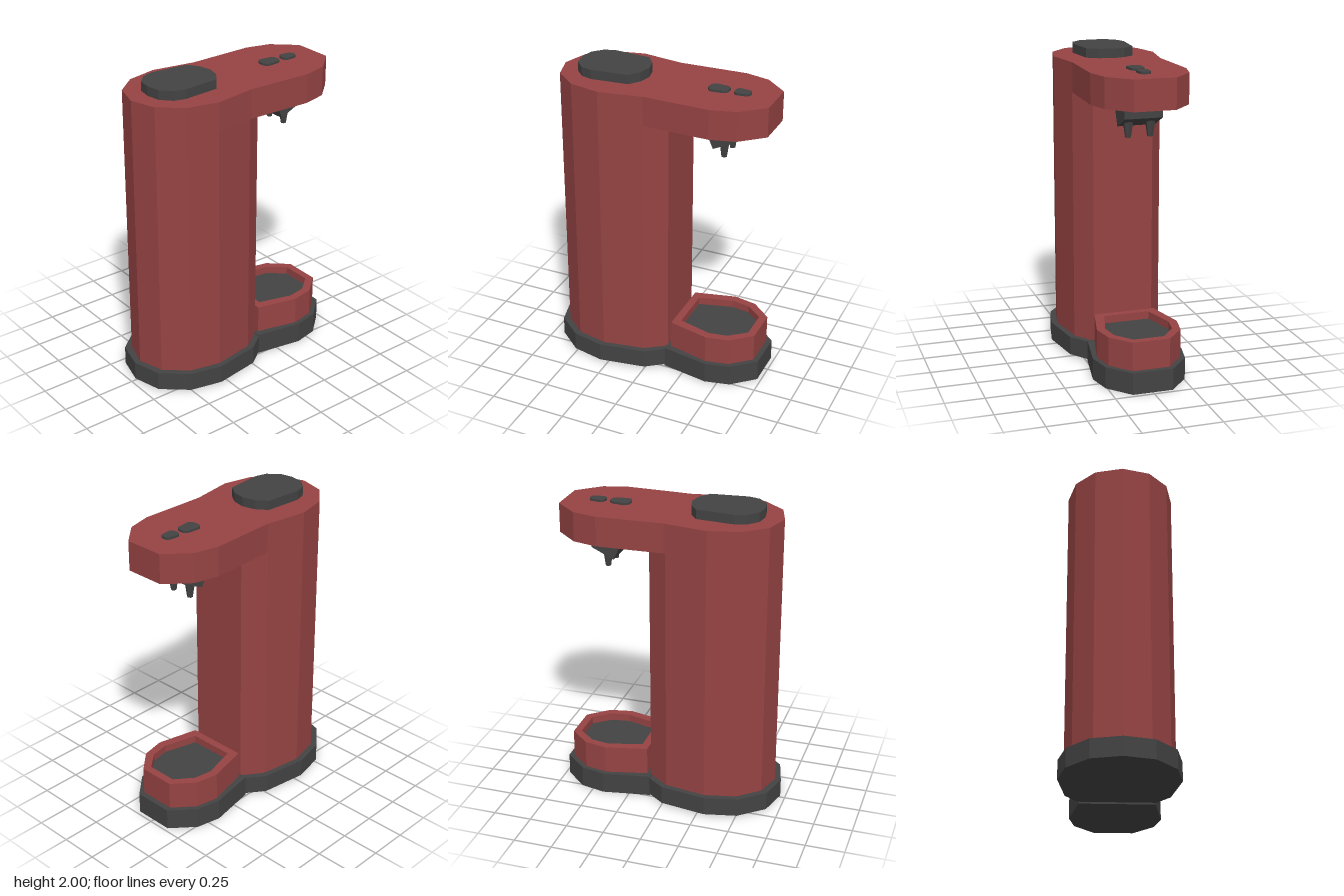
import * as THREE from 'three';

const red = new THREE.MeshStandardMaterial({ color: 0x964343, flatShading: true });
const dark = new THREE.MeshStandardMaterial({ color: 0x434343, flatShading: true });

// Mirror a half outline of [x, z] points (front to back) into a full loop.
function mirrored(half) {
  const other = half.filter(([x]) => x > 0).map(([x, z]) => [-x, z]).reverse();
  return [...half, ...other].map(([x, z]) => new THREE.Vector2(x, -z));
}

// Vertical prism between two heights, with an optional hole.
function prism(name, half, y0, y1, material, hole) {
  const shape = new THREE.Shape(mirrored(half));
  if (hole) shape.holes.push(new THREE.Path(mirrored(hole)));
  const geo = new THREE.ExtrudeGeometry(shape, { depth: y1 - y0, bevelEnabled: false });
  geo.rotateX(-Math.PI / 2).translate(0, y0, 0);
  const mesh = new THREE.Mesh(geo, material);
  mesh.name = name;
  return mesh;
}

// Rounded button outline: half width w between zFront and zBack.
function buttonHalf(w, zFront, zBack) {
  const c = w * 0.6;
  return [[w * 0.4, zFront], [w * 0.85, zFront - c * 0.45], [w, zFront - c],
    [w * 0.85, zBack + c], [w * 0.72, zBack + c * 0.4], [w * 0.35, zBack]];
}

export function createModel() {
  const model = new THREE.Group();
  model.name = 'coffeeMachine';

  const bodyFront = [[0, 0.68], [0.17, 0.63], [0.29, 0.49], [0.335, 0.29]];

  // Base: wide foot under the column and a lobe under the tray
  model.add(prism('columnFoot', [[0, 0.72], [0.19, 0.67], [0.325, 0.51], [0.372, 0.3],
    [0.325, 0], [0.24, -0.115]], 0.012, 0.133, dark));
  model.add(prism('trayFoot', [[0.24, -0.11], [0.295, -0.42], [0.26, -0.58],
    [0.13, -0.725]], 0, 0.14, dark));

  // Column and overhanging head
  model.add(prism('column', [...bodyFront, [0.29, 0.02], [0.195, -0.115]], 0.13, 1.75, red));
  model.add(prism('head', [...bodyFront, [0.29, 0.01], [0.302, -0.42], [0.262, -0.58],
    [0.13, -0.725]], 1.75, 1.94, red));

  // Drip tray with a sunken floor
  const trayInner = [[0.15, -0.19], [0.21, -0.41], [0.19, -0.53], [0.1, -0.64]];
  model.add(prism('trayRim', [[0.2, -0.14], [0.265, -0.41], [0.235, -0.56], [0.12, -0.69]],
    0.14, 0.325, red, trayInner));
  model.add(prism('trayFloor', trayInner, 0.14, 0.275, dark));

  // Lid and buttons on top
  model.add(prism('lid', [[0, 0.56], [0.09, 0.545], [0.155, 0.485], [0.176, 0.41],
    [0.155, 0.17], [0.085, 0.12], [0, 0.1]], 1.94, 2, dark));
  model.add(prism('frontButton', buttonHalf(0.05, -0.297, -0.428), 1.94, 1.954, dark)
    .rotateY(0));
  model.add(prism('backButton', buttonHalf(0.039, -0.463, -0.565), 1.94, 1.955, dark));

  // Dispenser block: side profile extruded across x
  const profile = [[0.325, 1.75], [0.325, 1.715], [0.375, 1.6], [0.52, 1.668], [0.52, 1.75]];
  const blockGeo = new THREE.ExtrudeGeometry(
    new THREE.Shape(profile.map(([d, y]) => new THREE.Vector2(d, y))),
    { depth: 0.24, bevelEnabled: false });
  blockGeo.translate(0, 0, -0.12).rotateY(Math.PI / 2);
  const block = new THREE.Mesh(blockGeo, dark);
  block.name = 'dispenserBlock';
  model.add(block);

  // Twin tapered spouts
  for (const side of [1, -1]) {
    const spout = new THREE.Mesh(new THREE.CylinderGeometry(0.034, 0.018, 0.11, 6), dark);
    spout.name = side > 0 ? 'leftSpout' : 'rightSpout';
    spout.position.set(side * 0.07, 1.595, -0.43);
    model.add(spout);
  }
  return model;
}
